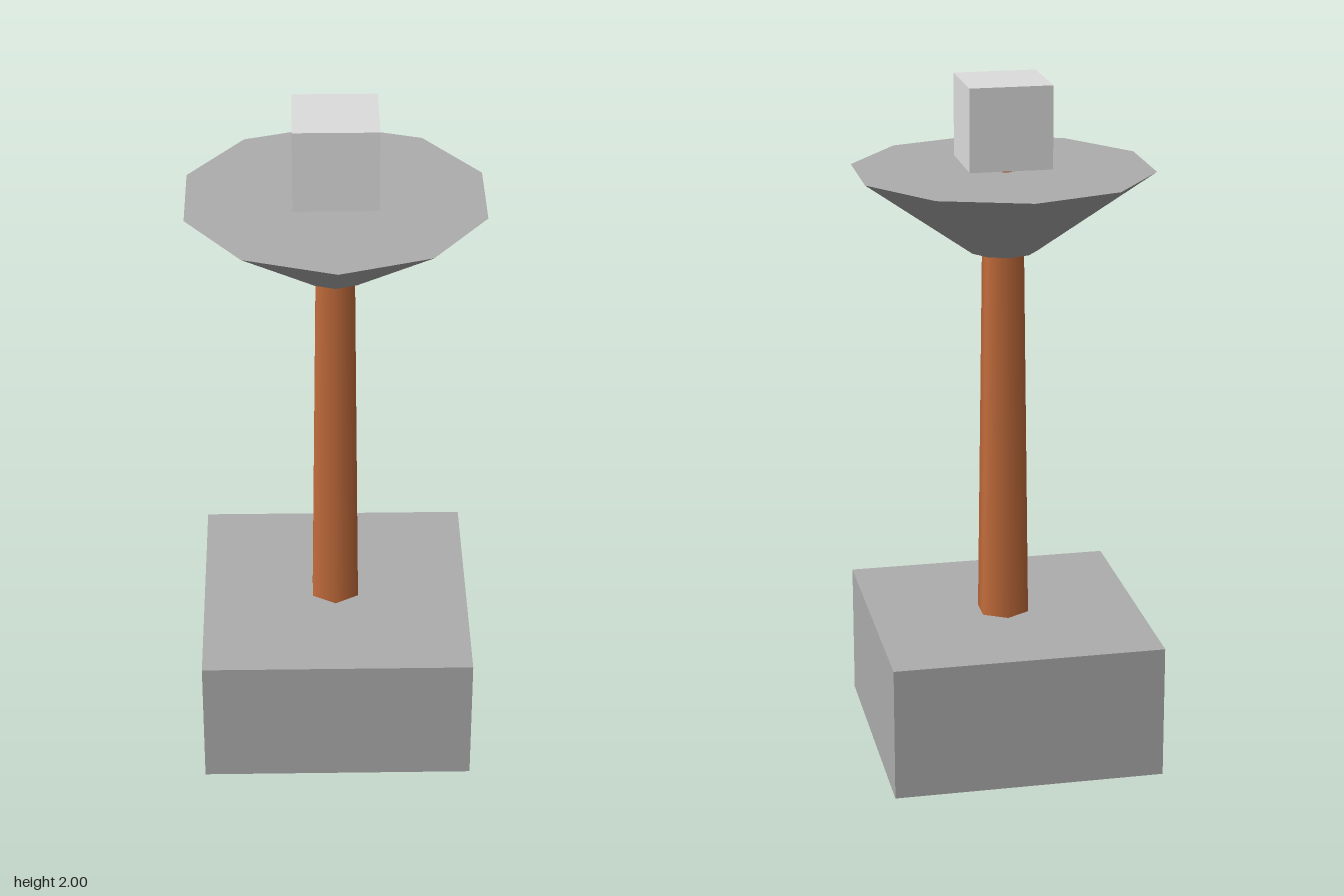
import * as THREE from 'three';

export function createModel() {
  const model = new THREE.Group();
  const mat = (name, color) => {
    const m = new THREE.MeshStandardMaterial({ color });
    m.name = name;
    return m;
  };
  const stone = mat('grey stone', 0xadadad);
  const wood = mat('brown wood', 0xc46d3c);
  const paleStone = mat('pale stone', 0xdddddd);

  // Adds a part standing on the given height
  const add = (name, geometry, material, height, bottom) => {
    const mesh = new THREE.Mesh(geometry, material);
    mesh.name = name;
    mesh.position.y = bottom + height / 2;
    model.add(mesh);
  };

  // Square plinth
  add('base', new THREE.BoxGeometry(0.794, 0.397, 0.794), stone, 0.397, 0);
  // Tapered six-sided post, running up through the bowl
  add('post', new THREE.CylinderGeometry(0.06, 0.079, 1.373, 6), wood, 1.373, 0.397);
  // Ten-sided flaring bowl with a flat top
  add('bowl', new THREE.CylinderGeometry(0.437, 0.1, 0.238, 10), stone, 0.238, 1.507);
  // Cube on top
  add('topBlock', new THREE.BoxGeometry(0.238, 0.238, 0.238), paleStone, 0.238, 1.762);

  return model;
}
